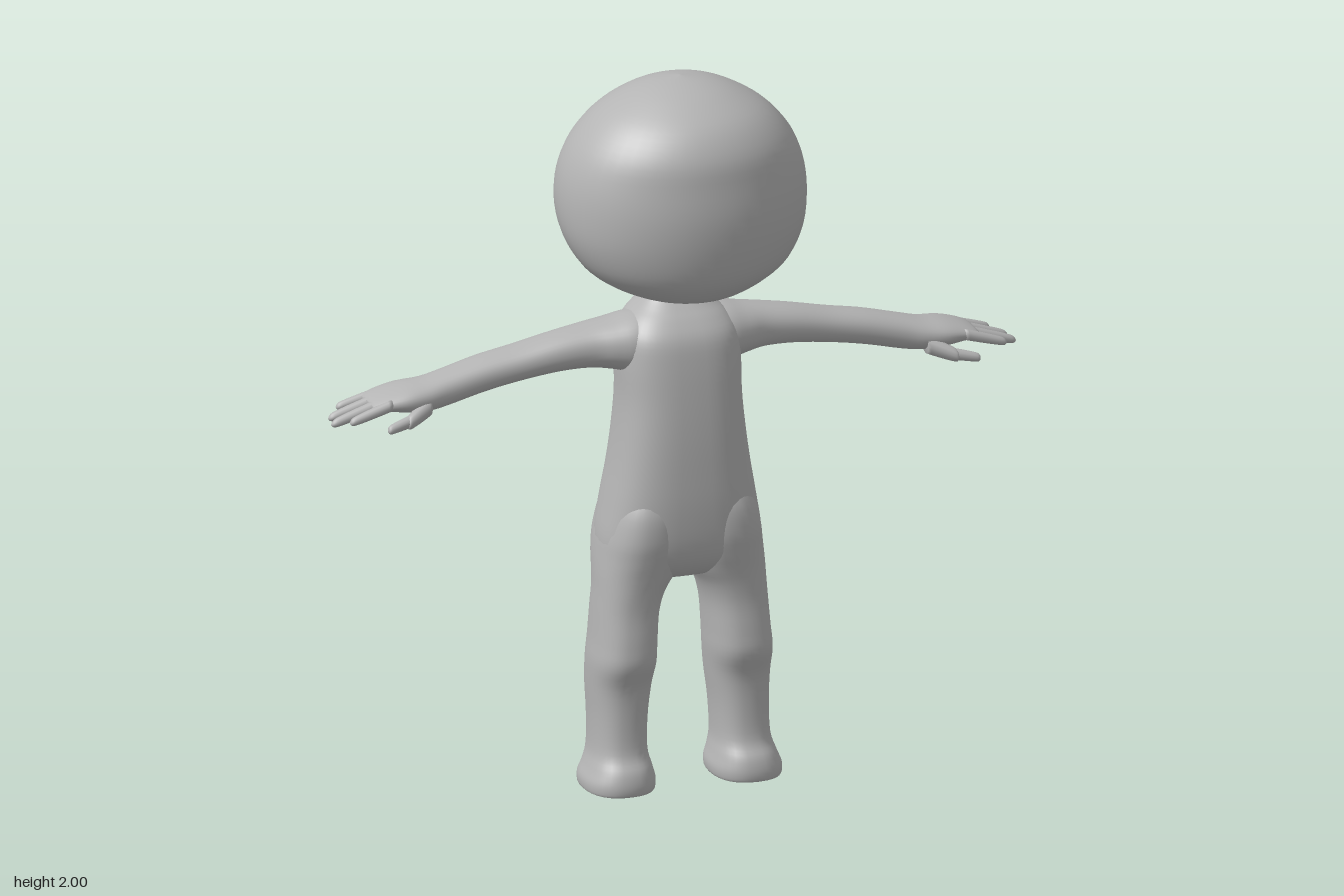
import * as THREE from 'three';

const skin = new THREE.MeshStandardMaterial({ color: 0xb4b4b4 });
skin.name = 'plain grey';

// Smooth interpolation through the cross-section rows
function refine(rows, steps) {
  const out = [];
  const at = (i) => rows[Math.min(rows.length - 1, Math.max(0, i))];
  for (let i = 0; i < rows.length - 1; i++) {
    const [p, a, b, q] = [at(i - 1), at(i), at(i + 1), at(i + 2)];
    for (let s = 0; s < steps; s++) {
      const t = s / steps;
      out.push(a.map((v, k) => {
        const c1 = b[k] - p[k];
        const c2 = 2 * p[k] - 5 * v + 4 * b[k] - q[k];
        const c3 = 3 * (v - b[k]) + q[k] - p[k];
        return v + 0.5 * t * (c1 + t * (c2 + t * c3));
      }));
    }
  }
  out.push(rows[rows.length - 1]);
  return out;
}

// Closed loft. Row: [position, aMin, aMax, zMin, zMax]
// axis 'y': a is x; axis 'x': a is y. power sets the squareness of the section.
function loft(name, rows, { axis = 'y', power = 2, sides = 32, steps = 4, mirror = false } = {}) {
  const rings = refine(rows, steps), pos = [], index = [];
  const put = (t, a, z) => {
    const x = axis === 'y' ? a : t;
    pos.push(mirror ? -x : x, axis === 'y' ? t : a, z);
  };
  const bend = (v) => Math.sign(v) * Math.pow(Math.abs(v), 2 / power);
  for (const [t, a0, a1, z0, z1] of rings) {
    for (let j = 0; j < sides; j++) {
      const w = (j / sides) * Math.PI * 2;
      put(t, (a0 + a1) / 2 + bend(Math.cos(w)) * (a1 - a0) / 2,
        (z0 + z1) / 2 + bend(Math.sin(w)) * (z1 - z0) / 2);
    }
  }
  const flip = (axis === 'y') !== mirror;
  const tri = (a, b, c) => (flip ? index.push(a, c, b) : index.push(a, b, c));
  const last = rings.length - 1;
  for (let i = 0; i < last; i++) {
    for (let j = 0; j < sides; j++) {
      const a = i * sides + j, b = i * sides + (j + 1) % sides;
      tri(a, b, b + sides);
      tri(a, b + sides, a + sides);
    }
  }
  // end caps
  for (const e of [0, last]) {
    const [t, a0, a1, z0, z1] = rings[e], c = pos.length / 3;
    put(t, (a0 + a1) / 2, (z0 + z1) / 2);
    for (let j = 0; j < sides; j++) {
      const a = e * sides + j, b = e * sides + (j + 1) % sides;
      if (e) tri(a, b, c);
      else tri(b, a, c);
    }
  }
  const geo = new THREE.BufferGeometry();
  geo.setAttribute('position', new THREE.Float32BufferAttribute(pos, 3));
  geo.setIndex(index);
  geo.computeVertexNormals();
  const mesh = new THREE.Mesh(geo, skin);
  mesh.name = name;
  return mesh;
}

// Finger from a start to an end point, with a rounded tip
function finger(name, [x0, y0, z0], [x1, y1, z1], r, mirror) {
  const rows = [[0, 1], [0.35, 0.95], [0.7, 0.85], [0.9, 0.72], [0.97, 0.45], [1, 0.05]].map(([t, k]) => {
    const y = y0 + (y1 - y0) * t, z = z0 + (z1 - z0) * t;
    return [x0 + (x1 - x0) * t, y - r * k, y + r * k, z - r * k, z + r * k];
  });
  return loft(name, rows, { axis: 'x', sides: 12, steps: 3, mirror });
}

export function createModel() {
  const model = new THREE.Group();
  model.name = 'figure';

  // Head: broad, flatter at the face, tucked in towards the nape
  model.add(loft('head', [
    [1.398, -0.02, 0.02, 0.0, 0.04],
    [1.402, -0.09, 0.09, -0.1, 0.12],
    [1.415, -0.15, 0.15, -0.125, 0.195],
    [1.45, -0.225, 0.225, -0.15, 0.24],
    [1.5, -0.288, 0.288, -0.19, 0.27],
    [1.58, -0.332, 0.332, -0.25, 0.288],
    [1.67, -0.345, 0.345, -0.29, 0.294],
    [1.76, -0.333, 0.333, -0.285, 0.286],
    [1.84, -0.297, 0.297, -0.258, 0.272],
    [1.91, -0.235, 0.235, -0.205, 0.226],
    [1.96, -0.155, 0.155, -0.138, 0.15],
    [1.988, -0.08, 0.08, -0.07, 0.075],
    [2.0, -0.004, 0.004, -0.004, 0.004],
  ], { sides: 48, power: 2.05 }));

  // Torso, running up into the neck
  model.add(loft('torso', [
    [0.585, -0.06, 0.06, -0.05, 0.03],
    [0.6, -0.15, 0.15, -0.1, 0.075],
    [0.64, -0.215, 0.215, -0.135, 0.11],
    [0.7, -0.225, 0.225, -0.168, 0.128],
    [0.8, -0.209, 0.209, -0.175, 0.135],
    [0.9, -0.191, 0.191, -0.166, 0.134],
    [1.0, -0.177, 0.177, -0.16, 0.13],
    [1.1, -0.168, 0.168, -0.155, 0.122],
    [1.2, -0.168, 0.168, -0.152, 0.11],
    [1.27, -0.162, 0.162, -0.15, 0.095],
    [1.315, -0.138, 0.138, -0.147, 0.065],
    [1.345, -0.105, 0.105, -0.14, 0.035],
    [1.37, -0.083, 0.083, -0.125, 0.012],
    [1.395, -0.088, 0.088, -0.118, 0.015],
    [1.44, -0.09, 0.09, -0.1, 0.03],
  ], { power: 2.7, sides: 48 }));

  for (const [side, mirror] of [['left', false], ['right', true]]) {
    // Leg with buttock, knee and foot
    model.add(loft(side + 'Leg', [
      [0.0, 0.092, 0.272, -0.123, 0.11],
      [0.004, 0.085, 0.278, -0.129, 0.119],
      [0.03, 0.083, 0.278, -0.13, 0.121],
      [0.065, 0.092, 0.264, -0.122, 0.112],
      [0.11, 0.1, 0.252, -0.117, 0.087],
      [0.2, 0.097, 0.25, -0.122, 0.08],
      [0.29, 0.086, 0.254, -0.128, 0.084],
      [0.36, 0.078, 0.255, -0.126, 0.108],
      [0.42, 0.075, 0.249, -0.124, 0.107],
      [0.5, 0.068, 0.243, -0.121, 0.1],
      [0.56, 0.05, 0.238, -0.123, 0.102],
      [0.61, 0.018, 0.235, -0.142, 0.109],
      [0.66, 0.0, 0.23, -0.172, 0.12],
      [0.72, 0.0, 0.221, -0.179, 0.13],
      [0.8, 0.01, 0.2, -0.165, 0.125],
      [0.88, 0.03, 0.16, -0.13, 0.09],
    ], { power: 2.4, mirror }));

    // Arm flowing from the shoulder to the palm
    const arm = new THREE.Group();
    arm.name = side + 'Arm';
    arm.add(loft(side + 'ArmAndPalm', [
      [0.06, 1.17, 1.335, -0.125, 0.04],
      [0.13, 1.165, 1.328, -0.135, 0.055],
      [0.19, 1.177, 1.314, -0.135, 0.04],
      [0.25, 1.184, 1.303, -0.13, 0.02],
      [0.34, 1.181, 1.286, -0.127, 0.008],
      [0.45, 1.165, 1.26, -0.132, -0.003],
      [0.55, 1.146, 1.241, -0.132, -0.006],
      [0.65, 1.123, 1.217, -0.126, -0.003],
      [0.71, 1.115, 1.202, -0.13, 0.004],
      [0.77, 1.119, 1.192, -0.147, 0.008],
      [0.82, 1.126, 1.178, -0.148, 0.0],
      [0.855, 1.13, 1.163, -0.143, -0.008],
      [0.868, 1.137, 1.152, -0.13, -0.02],
    ], { axis: 'x', power: 2.2, mirror }));

    // Fingers and thumb
    [[0.935, 1.122, -0.136, 0.015], [0.972, 1.108, -0.094, 0.017],
      [0.98, 1.106, -0.05, 0.017], [0.94, 1.118, -0.012, 0.016]].forEach(([x, y, z, r], i) => {
      arm.add(finger(side + 'Finger' + (i + 1), [0.82, 1.153, -0.127 + i * 0.037], [x, y, z], r, mirror));
    });
    arm.add(finger(side + 'Thumb', [0.71, 1.138, -0.018], [0.79, 1.108, 0.024], 0.026, mirror));
    arm.add(finger(side + 'ThumbTip', [0.765, 1.116, 0.014], [0.848, 1.1, 0.034], 0.017, mirror));
    model.add(arm);
  }
  return model;
}
